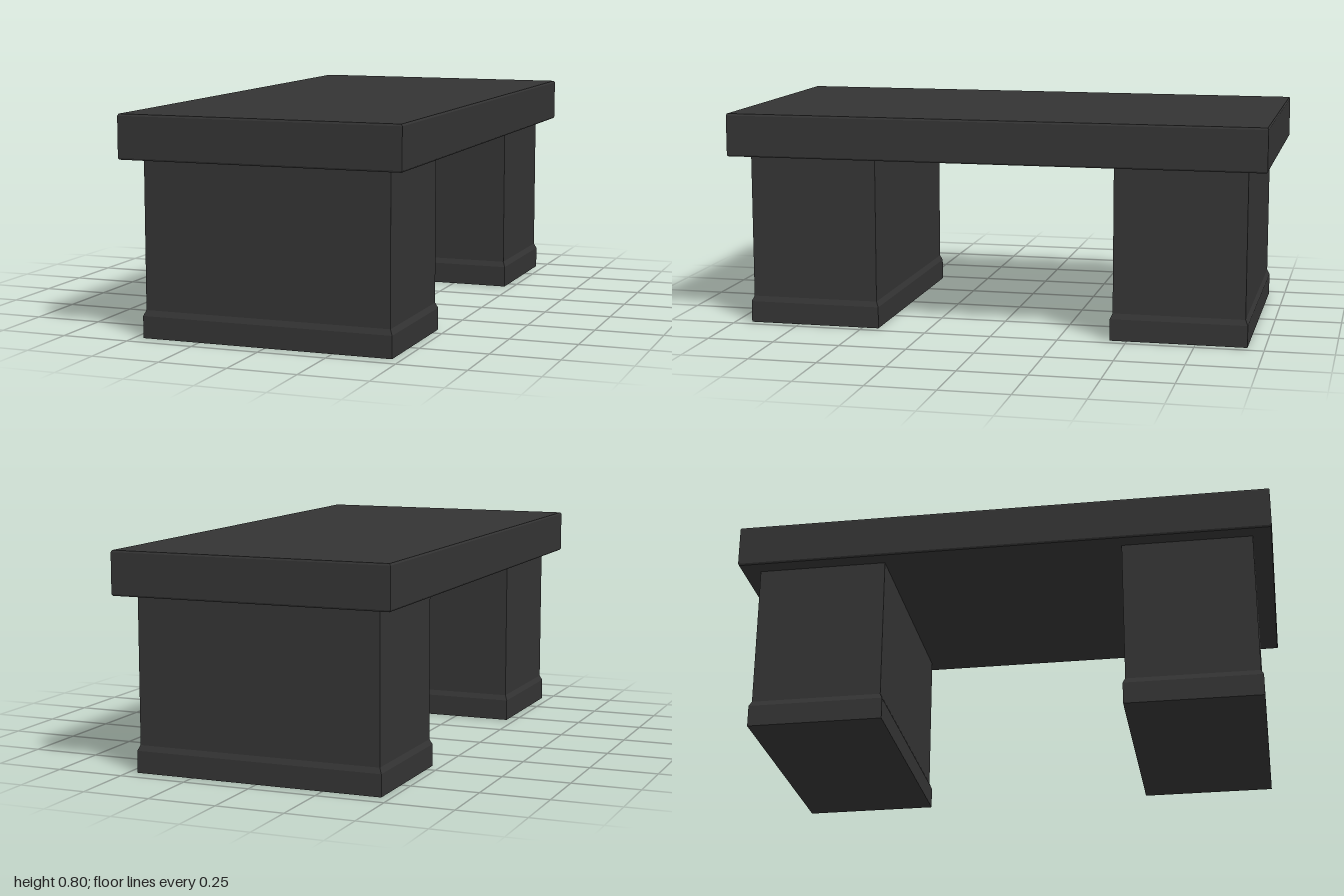
import * as THREE from 'three';

// Solid made of stacked rectangles: each level is [y, halfWidth, halfDepth]
function stackedBlock(levels) {
  const corners = [[1, 1], [1, -1], [-1, -1], [-1, 1]];
  const positions = [];
  const index = [];
  for (const [y, hx, hz] of levels) {
    for (const [sx, sz] of corners) positions.push(sx * hx, y, sz * hz);
  }
  for (let k = 0; k < levels.length - 1; k++) {
    for (let i = 0; i < 4; i++) {
      const a = k * 4 + i, b = k * 4 + (i + 1) % 4;
      index.push(a, b, b + 4, a, b + 4, a + 4);
    }
  }
  const t = (levels.length - 1) * 4;
  index.push(t, t + 1, t + 2, t, t + 2, t + 3); // top cap
  index.push(0, 2, 1, 0, 3, 2); // bottom cap
  const geometry = new THREE.BufferGeometry();
  geometry.setAttribute('position', new THREE.Float32BufferAttribute(positions, 3));
  geometry.setIndex(index);
  const flat = geometry.toNonIndexed();
  flat.computeVertexNormals();
  return flat;
}

export function createModel() {
  const group = new THREE.Group();
  group.name = 'desk';
  const charcoal = new THREE.MeshStandardMaterial({ color: 0x343434 });
  charcoal.name = 'charcoal';

  const add = (parent, name, levels) => {
    const mesh = new THREE.Mesh(stackedBlock(levels), charcoal);
    mesh.name = name;
    parent.add(mesh);
  };

  // Thick slab with finely eased edges
  add(group, 'tabletop', [
    [0.64, 0.517, 0.997], [0.646, 0.521, 1],
    [0.793, 0.521, 1], [0.8, 0.517, 0.997],
  ]);

  // Two pedestals, each with a chamfered plinth
  for (const [side, name] of [[1, 'frontPedestal'], [-1, 'backPedestal']]) {
    const pedestal = new THREE.Group();
    pedestal.name = name;
    pedestal.position.z = side * 0.688;
    add(pedestal, 'pedestalBody', [[0.09, 0.457, 0.241], [0.64, 0.457, 0.241]]);
    add(pedestal, 'plinth', [
      [0, 0.466, 0.25], [0.08, 0.466, 0.25], [0.1, 0.457, 0.241],
    ]);
    group.add(pedestal);
  }
  return group;
}
